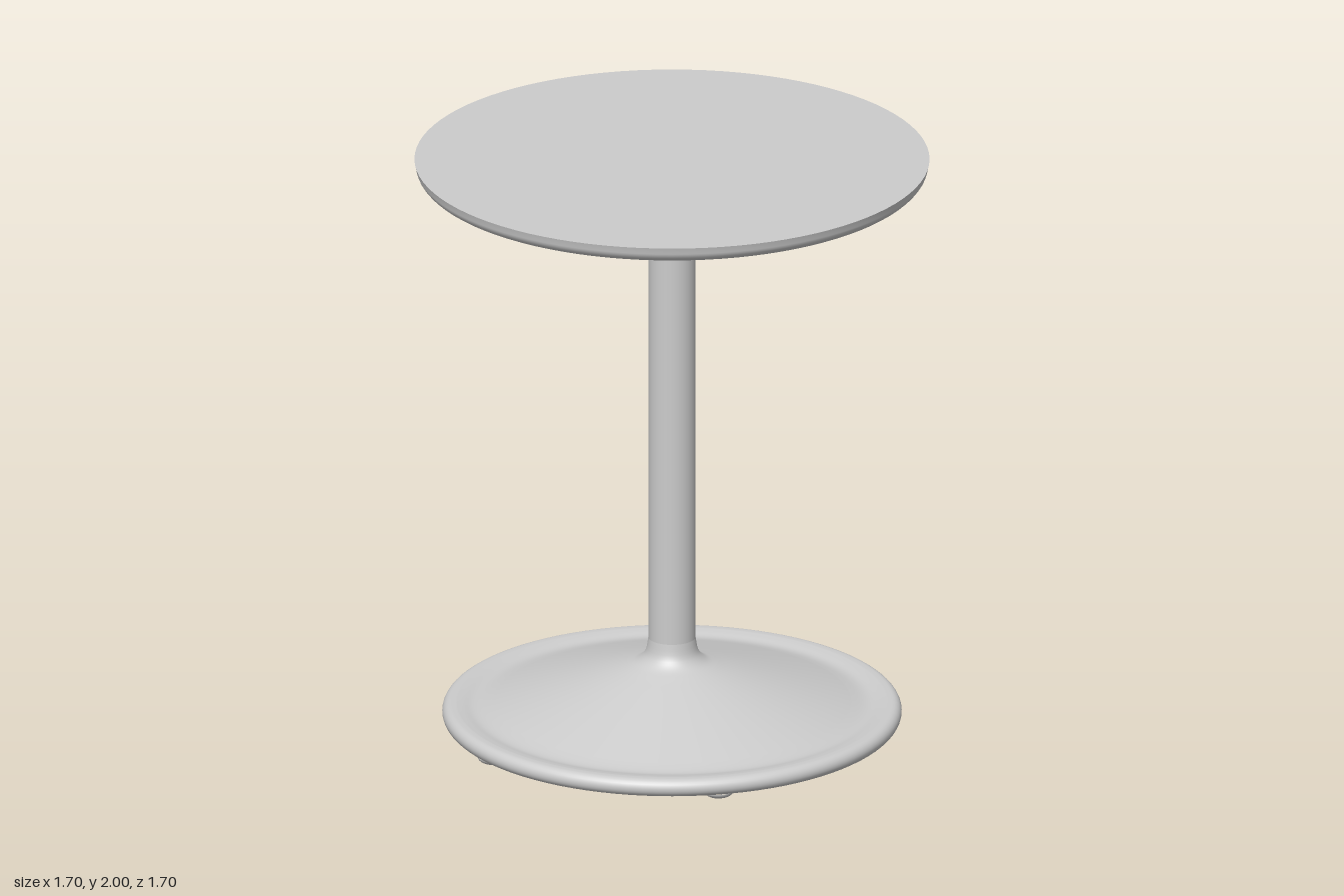
import * as THREE from 'three';

const material = new THREE.MeshStandardMaterial({ color: 0xcccccc });
const SEGMENTS = 96;

// Revolves a profile of [radius, y] points; a repeated point keeps that edge sharp.
function turned(name, profile) {
  const points = profile.map(([r, y]) => new THREE.Vector2(r, y));
  const mesh = new THREE.Mesh(new THREE.LatheGeometry(points, SEGMENTS), material);
  mesh.name = name;
  return mesh;
}

// Points of an arc in profile space, angles in degrees.
function arc(cx, cy, rx, ry, from, to, steps = 8) {
  return Array.from({ length: steps + 1 }, (_, i) => {
    const a = THREE.MathUtils.degToRad(from + ((to - from) * i) / steps);
    return [cx + rx * Math.cos(a), cy + ry * Math.sin(a)];
  });
}

// Points of a smooth curve through a few profile points.
function smooth(points, steps) {
  const curve = new THREE.SplineCurve(points.map(([r, y]) => new THREE.Vector2(r, y)));
  return curve.getPoints(steps).map((p) => [p.x, p.y]);
}

export function createModel() {
  const model = new THREE.Group();
  model.name = 'pedestalTable';

  // Dished base: flat underside, rounded rim, shallow groove, cone and neck
  model.add(turned('base', [
    [0, 0.025], [0.735, 0.025], [0.735, 0.025],
    ...arc(0.73, 0.055, 0.03, 0.03, -80, 90, 12),
    ...smooth([[0.715, 0.085], [0.69, 0.081], [0.66, 0.075], [0.63, 0.077], [0.59, 0.087]], 16),
    [0.4, 0.146], [0.24, 0.195],
    ...smooth([[0.2, 0.207], [0.155, 0.221], [0.115, 0.237], [0.088, 0.267], [0.078, 0.315]], 16),
  ]));

  // Column
  model.add(turned('column', [[0.078, 0.31], [0.078, 1.835]]));

  // Flared support under the top
  model.add(turned('topFlange', [
    ...smooth([[0.078, 1.83], [0.083, 1.853], [0.1, 1.873], [0.13, 1.886], [0.17, 1.894]], 14),
    [0.24, 1.907], [0.41, 1.94], [0.41, 1.94], [0.41, 1.95],
  ]));

  // Tabletop: recessed underside, rounded lower edge, flat sharp-edged top
  model.add(turned('tabletop', [
    [0.38, 1.941], [0.41, 1.945], [0.57, 1.964],
    ...smooth([[0.6, 1.966], [0.63, 1.962], [0.66, 1.947], [0.69, 1.94]], 12),
    [0.73, 1.94],
    ...arc(0.79, 1.985, 0.058, 0.045, -90, 0, 10),
    [0.852, 2], [0.852, 2], [0, 2],
  ]));

  // Five domed feet
  for (let i = 0; i < 5; i++) {
    const a = Math.PI + (i * Math.PI * 2) / 5;
    const foot = new THREE.Mesh(
      new THREE.SphereGeometry(0.052, 24, 8, 0, Math.PI * 2, Math.PI / 2, Math.PI / 2),
      material
    );
    foot.name = 'foot' + (i + 1);
    foot.scale.y = 0.026 / 0.052;
    foot.position.set(0.69 * Math.cos(a), 0.026, 0.69 * Math.sin(a));
    model.add(foot);
  }

  return model;
}
